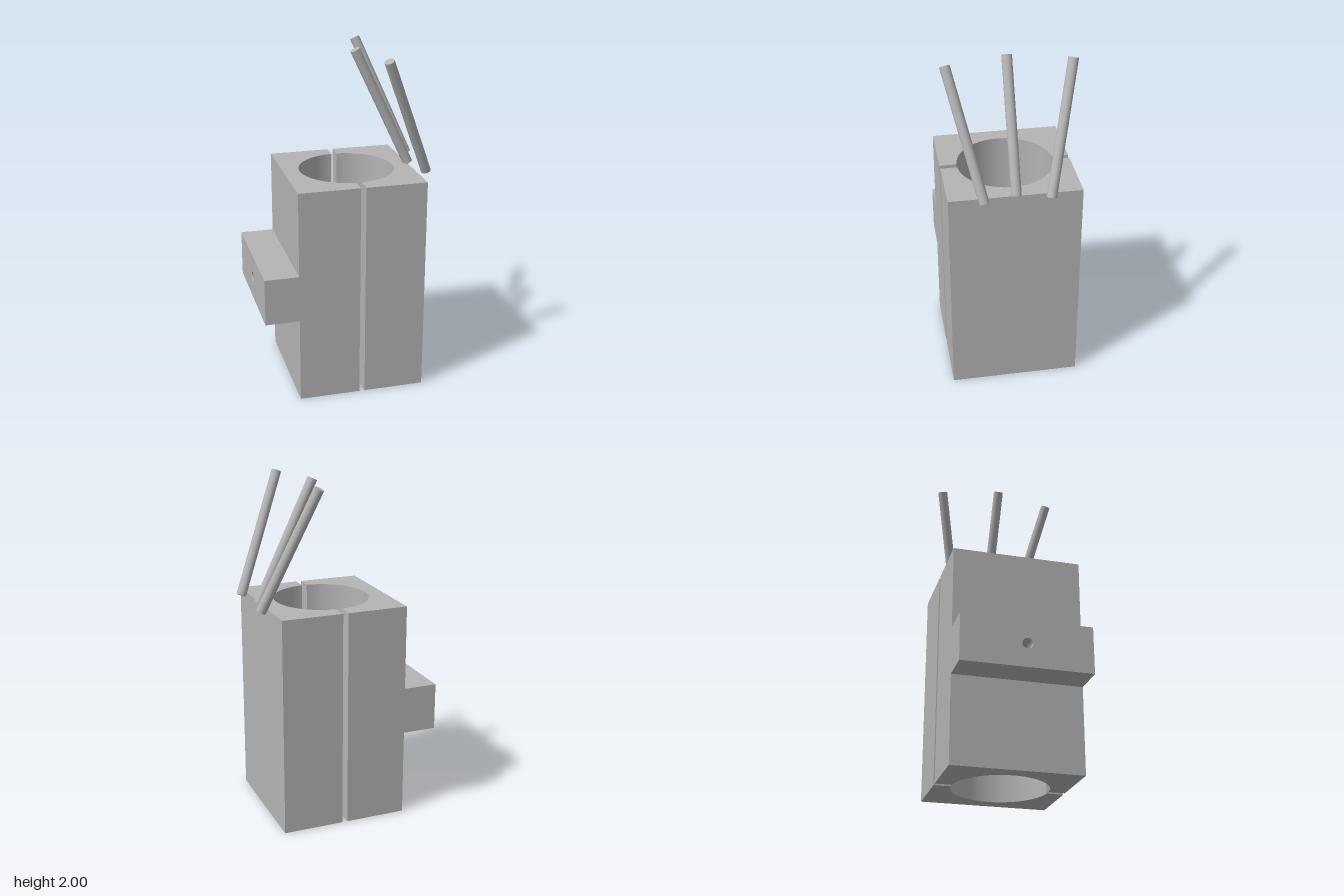
import * as THREE from 'three';
import { toCreasedNormals } from 'three/addons/utils/BufferGeometryUtils.js';

const HEIGHT = 1.29, HALF_DEPTH = 0.378, HALF_WIDTH = 0.376;
const HALF_GAP = 0.016, BORE_RADIUS = 0.28, BORE_X = 0.058, ROD_RADIUS = 0.029;

const grey = new THREE.MeshStandardMaterial({ color: 0xb4b4b4 });
grey.name = 'plain grey';

function addMesh(group, name, geometry) {
  const mesh = new THREE.Mesh(geometry, grey);
  mesh.name = name;
  group.add(mesh);
  return mesh;
}

// Half of a split block with a half-round bore, facing +x
function halfBlockGeometry() {
  const angle = Math.acos(HALF_GAP / BORE_RADIUS);
  const shape = new THREE.Shape();
  shape.moveTo(HALF_GAP, -HALF_DEPTH);
  shape.lineTo(HALF_WIDTH, -HALF_DEPTH);
  shape.lineTo(HALF_WIDTH, HALF_DEPTH);
  shape.lineTo(HALF_GAP, HALF_DEPTH);
  shape.absarc(0, 0, BORE_RADIUS, angle, -angle, true);
  shape.closePath();
  const geometry = new THREE.ExtrudeGeometry(shape, {
    depth: HEIGHT, bevelEnabled: false, curveSegments: 40,
  });
  geometry.rotateX(-Math.PI / 2);
  return toCreasedNormals(geometry, 0.5);
}

// Mounting bar with a small round screw hole
function barGeometry() {
  const shape = new THREE.Shape();
  shape.moveTo(-HALF_DEPTH, 0.512);
  shape.lineTo(HALF_DEPTH, 0.512);
  shape.lineTo(HALF_DEPTH, 0.79);
  shape.lineTo(-HALF_DEPTH, 0.79);
  shape.closePath();
  const hole = new THREE.Path();
  hole.absarc(0, 0.651, 0.031, 0, Math.PI * 2, true);
  shape.holes.push(hole);
  const geometry = new THREE.ExtrudeGeometry(shape, {
    depth: 0.2, bevelEnabled: false, curveSegments: 24,
  });
  geometry.rotateY(-Math.PI / 2);
  return toCreasedNormals(geometry, 0.5);
}

function addRod(group, name, bottom, top) {
  const axis = top.clone().sub(bottom);
  const rod = addMesh(group, name,
    new THREE.CylinderGeometry(ROD_RADIUS, ROD_RADIUS, axis.length(), 32));
  rod.position.copy(bottom).add(top).multiplyScalar(0.5);
  rod.quaternion.setFromUnitVectors(new THREE.Vector3(0, 1, 0), axis.normalize());
}

export function createModel() {
  const group = new THREE.Group();
  group.name = 'splitClamp';

  // Two facing halves of the clamp
  const half = halfBlockGeometry();
  addMesh(group, 'leftHalf', half).position.x = BORE_X;
  const right = addMesh(group, 'rightHalf', half);
  right.position.x = BORE_X;
  right.rotation.y = Math.PI;

  addMesh(group, 'mountingBar', barGeometry()).position.x = BORE_X - HALF_WIDTH;

  // Three rods leaning inward over the block
  const V = (x, y, z) => new THREE.Vector3(x, y, z);
  addRod(group, 'middleRod', V(0.438, 1.295, 0), V(0.108, 1.988, 0));
  for (const [name, s] of [['frontRod', 1], ['backRod', -1]]) {
    addRod(group, name, V(0.489, 1.295, 0.186 * s), V(0.203, 1.988, 0.348 * s));
  }
  return group;
}
